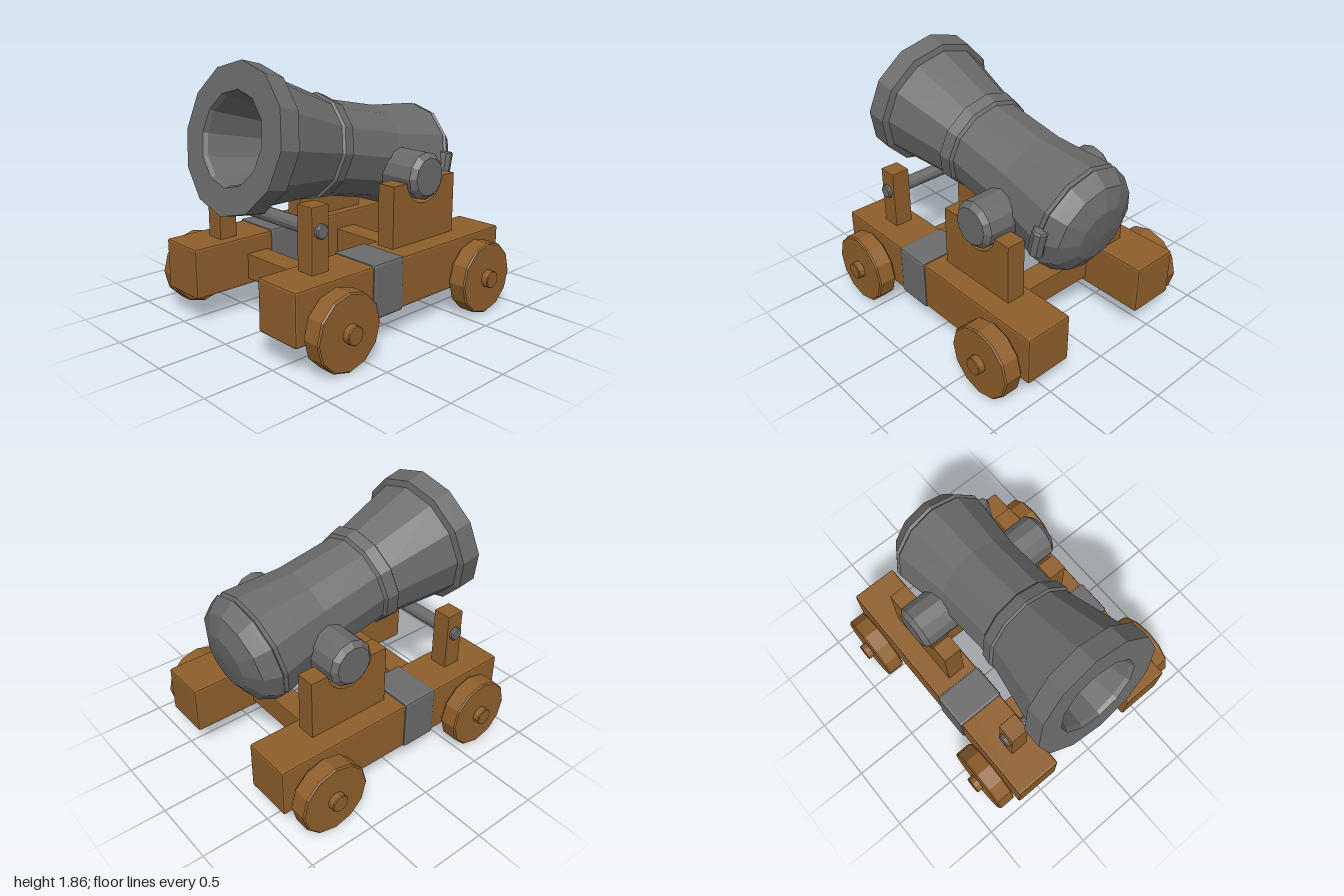
import * as THREE from 'three';
import { RoundedBoxGeometry } from 'three/addons/geometries/RoundedBoxGeometry.js';

export function createModel() {
  const model = new THREE.Group();
  model.name = 'cannon';
  const wood = new THREE.MeshStandardMaterial({ color: 0x8f5f2b, flatShading: true });
  wood.name = 'wood';
  const iron = new THREE.MeshStandardMaterial({ color: 0x6b6b6b, flatShading: true });
  iron.name = 'iron';

  const add = (name, geometry, material, x = 0, y = 0, z = 0, parent = model) => {
    const mesh = new THREE.Mesh(geometry, material);
    mesh.name = name;
    mesh.position.set(x, y, z);
    parent.add(mesh);
    return mesh;
  };
  // Box given by its extents, with slightly worn edges
  const box = (name, material, [x0, x1], [y0, y1], [z0, z1], bevel = 0.012) =>
    add(name, new RoundedBoxGeometry(x1 - x0, y1 - y0, z1 - z0, 1, bevel), material,
      (x0 + x1) / 2, (y0 + y1) / 2, (z0 + z1) / 2);
  const lathe = (points, sides = 12) =>
    new THREE.LatheGeometry(points.map(([r, y]) => new THREE.Vector2(r, y)), sides);
  // Chamfered cylinder lying along x
  const rod = (name, material, r, x0, x1, y, z, chamfer, sides = 12) => {
    const h = (x1 - x0) / 2;
    const g = lathe([[0, -h], [r - chamfer, -h], [r, -h + chamfer],
      [r, h - chamfer], [r - chamfer, h], [0, h]], sides);
    g.rotateZ(-Math.PI / 2);
    return add(name, g, material, (x0 + x1) / 2, y, z);
  };
  const span = (side, a, b) => (side > 0 ? [a, b] : [-b, -a]);

  // Barrel: local y runs along the bore, origin at the muzzle centre
  const barrel = new THREE.Group();
  barrel.name = 'barrel';
  barrel.position.set(0, 1.38, 0.9);
  barrel.rotation.x = 1.365;
  model.add(barrel);
  add('barrelBody', lathe([
    // breech cap and its lip
    [0, -1.875], [0.2, -1.86], [0.335, -1.795], [0.39, -1.71], [0.405, -1.685], [0.385, -1.67],
    // outer wall up to the muzzle ring
    [0.405, -1.65], [0.344, -1.22], [0.338, -0.76], [0.355, -0.65], [0.45, -0.165],
    [0.495, -0.148], [0.5, 0],
    // bore
    [0.315, 0], [0.3, -0.03], [0.18, -0.82], [0.18, -1.55], [0, -1.6],
  ]), iron, 0, 0, 0, barrel);
  add('reinforcingBand', lathe([
    [0.33, -0.77], [0.36, -0.745], [0.374, -0.66], [0.345, -0.64],
  ]), iron, 0, 0, 0, barrel);
  const fuse = lathe([[0, -0.1], [0.045, -0.1], [0.055, -0.09],
    [0.055, 0.09], [0.045, 0.1], [0, 0.1]], 8);
  fuse.rotateX(Math.PI / 2);
  add('fuseHolder', fuse, iron, 0.385, -1.673, 0.012, barrel);

  // Trunnion cradle with a rounded notch
  const cradle = new THREE.Shape();
  cradle.moveTo(-0.645, 0.565);
  cradle.lineTo(-0.645, 1.01);
  cradle.lineTo(-0.515, 1.01);
  cradle.absarc(-0.33, 1.03, 0.185, Math.PI + 0.1, 2 * Math.PI - 0.1, false);
  cradle.lineTo(-0.015, 1.01);
  cradle.lineTo(-0.015, 0.565);
  cradle.closePath();
  const cradleGeometry = new THREE.ExtrudeGeometry(cradle,
    { depth: 0.14, bevelEnabled: false, curveSegments: 6 });
  cradleGeometry.translate(0, 0, -0.07);
  cradleGeometry.rotateY(-Math.PI / 2);

  for (const side of [1, -1]) {
    const label = side > 0 ? 'left' : 'right';
    // Side rail with its iron strap
    box(label + 'Rail', wood, span(side, 0.345, 0.705), [0.21, 0.572], [-1, 0.98], 0.015);
    box(label + 'Strap', iron, span(side, 0.335, 0.717), [0.2, 0.584], [0.045, 0.33], 0.02);
    // Supports for the barrel
    add(label + 'Cradle', cradleGeometry, wood, side * 0.485, 0, 0);
    box(label + 'Post', wood, span(side, 0.42, 0.56), [0.56, 1.01], [0.578, 0.72], 0.006);
    const t = span(side, 0.26, 0.597);
    rod(label + 'Trunnion', iron, 0.17, t[0], t[1], 1.035, -0.33, 0.036);
    // Wheels and axle stubs
    for (const [end, z] of [['Front', 0.672], ['Rear', -0.69]]) {
      const w = span(side, 0.717, 0.855);
      rod(label + end + 'Wheel', wood, 0.264, w[0], w[1], 0.273, z, 0.01);
      const a = span(side, 0.6, 0.905);
      rod(label + end + 'Axle', wood, 0.064, a[0], a[1], 0.273, z, 0.005);
    }
  }

  // Cross beams and the iron rod under the barrel
  box('frontBeam', wood, [-0.37, 0.37], [0.255, 0.443], [0.36, 0.54], 0.005);
  box('rearBeam', wood, [-0.37, 0.37], [0.255, 0.443], [-0.52, -0.34], 0.005);
  rod('supportRod', iron, 0.05, -0.588, 0.588, 0.848, 0.65, 0.008);

  return model;
}
